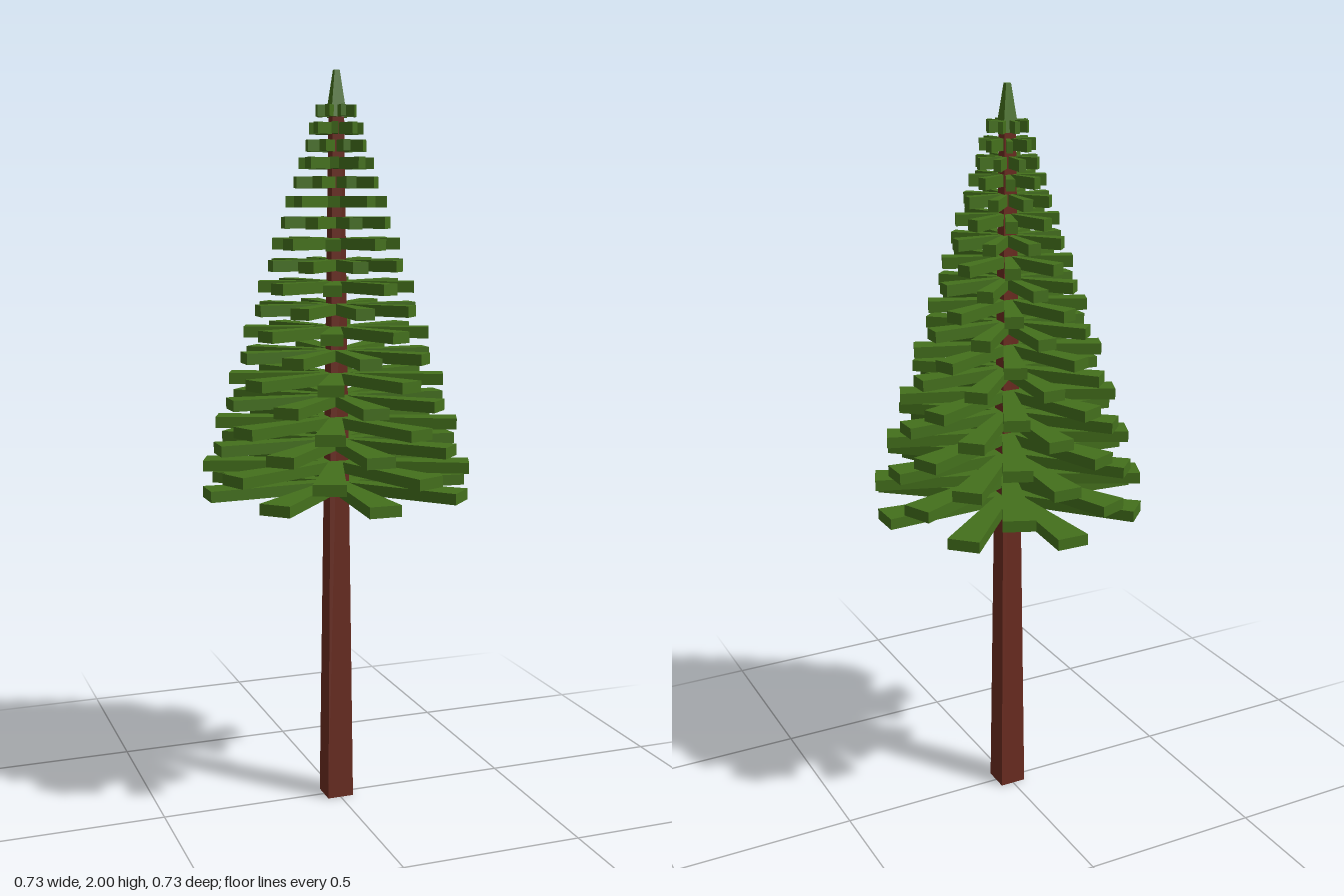
import * as THREE from 'three';

const bark = new THREE.MeshStandardMaterial({ color: 0x6b2c20, flatShading: true });
const needles = new THREE.MeshStandardMaterial({ color: 0x44701c, flatShading: true });

// Square tapered post between two heights, given half widths
function taperedPost(name, y0, y1, halfBottom, halfTop, material) {
  const geo = new THREE.CylinderGeometry(halfTop * Math.SQRT2, halfBottom * Math.SQRT2, y1 - y0, 4);
  geo.rotateY(Math.PI / 4);
  geo.translate(0, (y0 + y1) / 2, 0);
  const mesh = new THREE.Mesh(geo, material);
  mesh.name = name;
  return mesh;
}

// Flat branch along +x that widens towards its tip
function branchGeometry(length) {
  const geo = new THREE.BoxGeometry(length, 0.03, 1);
  geo.translate(length / 2, 0, 0);
  const pos = geo.attributes.position;
  const tipWidth = 0.236 * length;
  for (let i = 0; i < pos.count; i++) {
    const t = pos.getX(i) / length;
    pos.setZ(i, pos.getZ(i) * tipWidth * (0.38 + 0.62 * t));
  }
  geo.computeVertexNormals();
  return geo;
}

export function createModel() {
  const tree = new THREE.Group();
  tree.name = 'conifer';
  tree.add(taperedPost('trunk', 0, 1.9, 0.037, 0.016, bark));
  tree.add(taperedPost('treetop', 1.88, 2, 0.022, 0.007, needles));

  // Tiers of eight branches: [height, length], every other tier turned by half a step
  const tiers = [
    [0.892, 0.366], [0.95, 0.361], [1.011, 0.335], [1.07, 0.326], [1.13, 0.3],
    [1.19, 0.288], [1.252, 0.26], [1.315, 0.248], [1.376, 0.22], [1.436, 0.208],
    [1.493, 0.184], [1.55, 0.17], [1.605, 0.149], [1.66, 0.134], [1.71, 0.115],
    [1.76, 0.099], [1.805, 0.082], [1.85, 0.072], [1.895, 0.055],
  ];
  tiers.forEach(([y, length], i) => {
    const tier = new THREE.Group();
    tier.name = `branchTier${i + 1}`;
    tier.position.y = y;
    tier.rotation.y = (i % 2) * Math.PI / 8;
    const geo = branchGeometry(length);
    for (let k = 0; k < 8; k++) {
      const branch = new THREE.Mesh(geo, needles);
      branch.name = 'branch';
      branch.rotation.y = k * Math.PI / 4;
      tier.add(branch);
    }
    tree.add(tier);
  });
  return tree;
}
